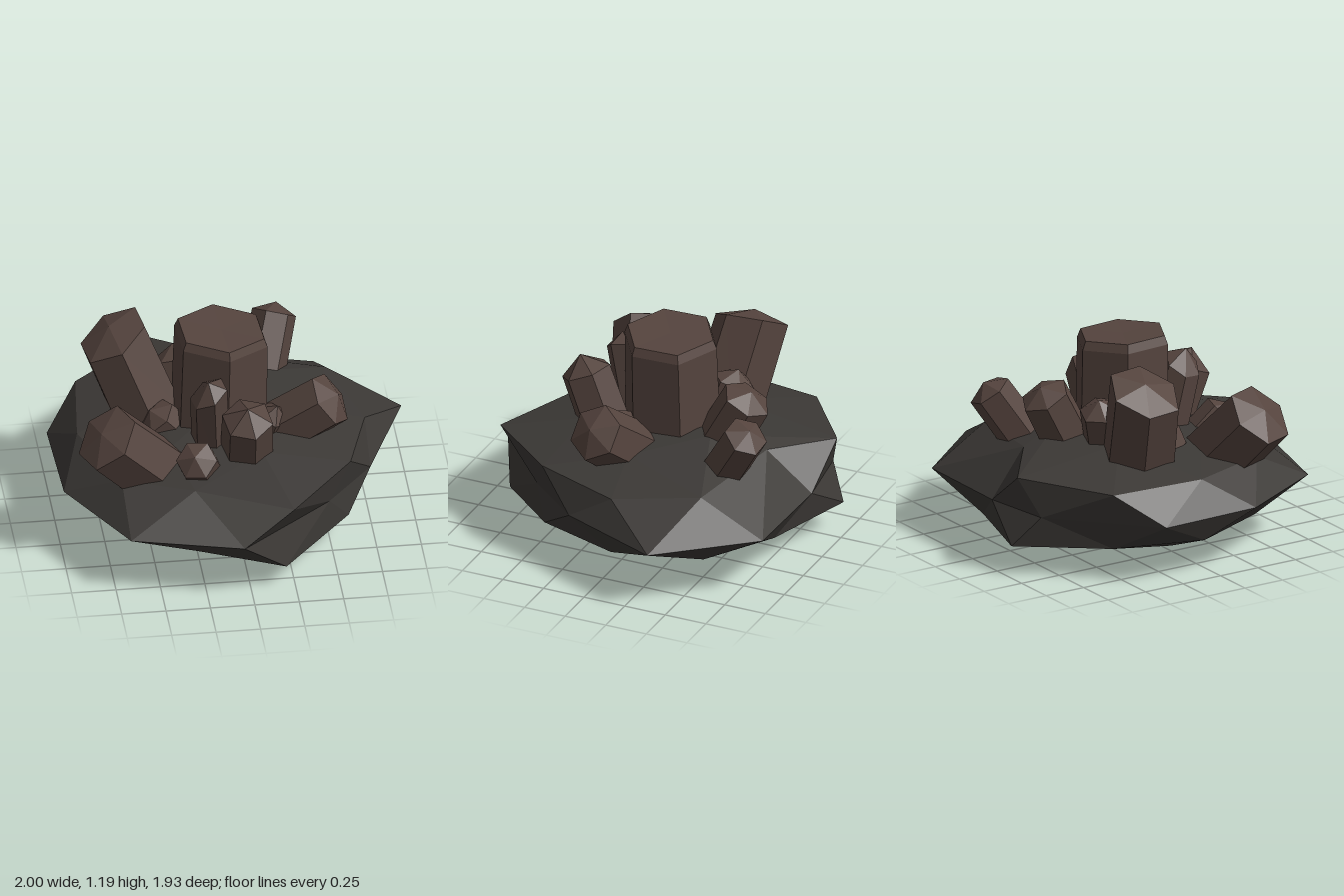
import * as THREE from 'three';

const rockMaterial = new THREE.MeshStandardMaterial({ color: 0x3b3835, flatShading: true });
const crystalMaterial = new THREE.MeshStandardMaterial({ color: 0x55443e, flatShading: true });

// Rings of the boulder, each running from +x towards +z
const EQUATOR = [
  [0.75, 0.35, 0.21], [0.48, 0.35, 0.53], [-0.05, 0.35, 0.96], [-0.67, 0.35, 0.8], [-0.98, 0.35, 0.25],
  [-1, 0.35, -0.36], [-0.47, 0.35, -0.85], [-0.06, 0.35, -0.91], [0.57, 0.35, -0.9], [1, 0.35, -0.39],
];
const UPPER = {
  ring: [
    [0.75, 0.51, -0.05], [0.61, 0.545, 0.44], [0.24, 0.53, 0.87], [-0.29, 0.55, 0.64], [-0.68, 0.53, 0.45],
    [-0.87, 0.54, -0.04], [-0.81, 0.53, -0.59], [-0.35, 0.565, -0.93], [0, 0.6, -0.66], [0.59, 0.55, -0.53],
  ],
  inner: [[0.42, 0.62, 0], [0.12, 0.62, 0.4], [-0.38, 0.61, 0.27], [-0.38, 0.65, -0.27], [0.1, 0.67, -0.36]],
  pole: [-0.05, 0.68, -0.05],
  offset: 0,
};
const LOWER = {
  ring: [
    [0.73, 0.165, -0.04], [0.6, 0.185, 0.43], [0.2, 0.13, 0.83], [-0.28, 0.2, 0.72], [-0.66, 0.18, 0.45],
    [-0.9, 0.19, -0.04], [-0.7, 0.17, -0.52], [-0.35, 0.17, -0.97], [0.2, 0.17, -0.8], [0.6, 0.17, -0.55],
  ],
  inner: [[0.38, 0.03, 0.26], [-0.22, 0.035, 0.44], [-0.54, 0.05, -0.03], [-0.18, 0.05, -0.49], [0.35, 0.05, -0.38]],
  pole: [-0.05, 0, -0.03],
  offset: 1,
};

// One half of the boulder: equator to ring, ring to inner ring, inner ring to pole
function addHalf(positions, { ring, inner, pole, offset }, flip) {
  const tri = (a, b, c) => positions.push(...a, ...(flip ? c : b), ...(flip ? b : c));
  const R = (i) => ring[(i + 10) % 10];
  const E = (i) => EQUATOR[(i + 10) % 10];
  for (let i = 0; i < 10; i++) {
    tri(R(i), R(i + 1), E(i));
    tri(R(i), E(i), E(i - 1));
  }
  for (let k = 0; k < 5; k++) {
    const a = inner[k], b = inner[(k + 1) % 5], j = 2 * k + offset;
    tri(a, R(j + 1), R(j));
    tri(a, R(j), R(j - 1));
    tri(a, b, R(j + 1));
    tri(pole, b, a);
  }
}

function createRock() {
  const positions = [];
  addHalf(positions, UPPER, false);
  addHalf(positions, LOWER, true);
  const geometry = new THREE.BufferGeometry();
  geometry.setAttribute('position', new THREE.Float32BufferAttribute(positions, 3));
  geometry.computeVertexNormals();
  const rock = new THREE.Mesh(geometry, rockMaterial);
  rock.name = 'rockBase';
  return rock;
}

// Six-sided prism from base to shoulder with a pointed cap; the foot is sunk into the rock.
// lean slants the shoulder: its rise per unit of x and z
function createCrystal({ name, from, to, radius, cap, twist, bevel = 0, lean = [0, 0] }) {
  const start = new THREE.Vector3(...from);
  const axis = new THREE.Vector3(...to).sub(start);
  const length = axis.length();
  const profile = [[0, -0.08], [radius, -0.08], [radius * 0.97, length]];
  if (bevel) profile.push([radius * 0.9, length + bevel]);
  profile.push([0, length + bevel + cap]);
  const geometry = new THREE.LatheGeometry(profile.map(([x, y]) => new THREE.Vector2(x, y)), 6);
  geometry.rotateY(twist);
  const p = geometry.attributes.position;
  for (let i = 0; i < p.count; i++) {
    if (p.getY(i) > 0) p.setY(i, p.getY(i) + lean[0] * p.getX(i) + lean[1] * p.getZ(i));
  }
  const crystal = new THREE.Mesh(geometry, crystalMaterial);
  crystal.name = name;
  crystal.position.copy(start);
  crystal.quaternion.setFromUnitVectors(new THREE.Vector3(0, 1, 0), axis.normalize());
  return crystal;
}

const CRYSTALS = [
  { name: 'mainCrystal', from: [-0.07, 0.6, -0.05], to: [-0.06, 1.125, -0.04], radius: 0.285, cap: -0.005, bevel: 0.05, twist: 0.06, lean: [-0.04, 0.03] },
  { name: 'tallRightCrystal', from: [-0.47, 0.6, -0.2], to: [-0.64, 1.03, -0.27], radius: 0.215, cap: 0.06, twist: 0.1, lean: [0.15, -0.2] },
  { name: 'frontRightCrystal', from: [-0.52, 0.53, 0.32], to: [-0.76, 0.8, 0.42], radius: 0.205, cap: 0.05, twist: 0.4 },
  { name: 'leftCrystal', from: [0.3, 0.6, 0.08], to: [0.53, 0.78, 0.15], radius: 0.17, cap: 0.06, twist: 0.3 },
  { name: 'backCrystal', from: [-0.01, 0.6, -0.38], to: [-0.015, 0.88, -0.53], radius: 0.15, cap: 0.06, twist: 0 },
  { name: 'backLeftCrystal', from: [0.24, 0.58, -0.52], to: [0.32, 0.84, -0.68], radius: 0.13, cap: 0.06, twist: 0.5 },
  { name: 'frontCrystal', from: [0.04, 0.6, 0.33], to: [0.03, 0.87, 0.44], radius: 0.15, cap: 0.1, twist: 0.2 },
  { name: 'smallFrontCrystal', from: [-0.24, 0.58, 0.43], to: [-0.265, 0.66, 0.5], radius: 0.12, cap: 0.065, twist: 0.3 },
  { name: 'slenderCrystal', from: [-0.15, 0.6, 0.21], to: [-0.17, 0.96, 0.29], radius: 0.11, cap: 0.09, twist: 0.2, lean: [0.5, 0] },
  { name: 'smallRightCrystal', from: [-0.36, 0.58, 0.01], to: [-0.43, 0.66, 0.02], radius: 0.12, cap: 0.06, twist: 0.5 },
  { name: 'backRightCrystal', from: [-0.23, 0.6, -0.26], to: [-0.28, 0.83, -0.33], radius: 0.125, cap: 0.07, twist: 0.2 },
  { name: 'smallLeftCrystal', from: [0.18, 0.6, 0.12], to: [0.21, 0.7, 0.15], radius: 0.095, cap: 0.08, twist: 0.1 },
];

export function createModel() {
  const model = new THREE.Group();
  model.name = 'crystalCluster';
  model.add(createRock());
  const crystals = new THREE.Group();
  crystals.name = 'crystals';
  CRYSTALS.forEach((c) => crystals.add(createCrystal(c)));
  model.add(crystals);
  return model;
}
